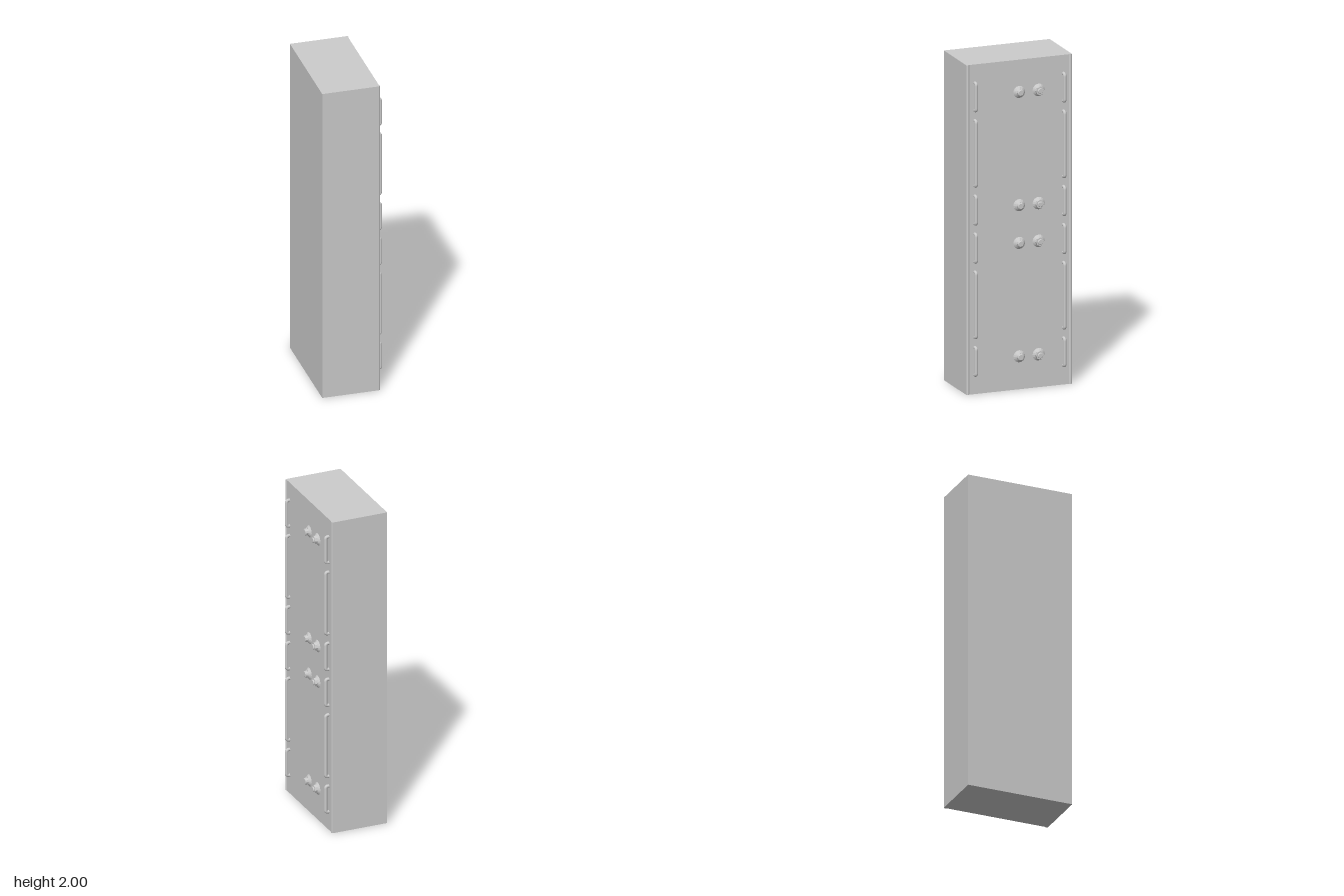
import * as THREE from 'three';

const FACE = 0.157; // x of the panel carrying the hardware
const grey = new THREE.MeshStandardMaterial({ color: 0xcccccc });
const faceted = new THREE.MeshStandardMaterial({ color: 0xcccccc, flatShading: true });

function add(parent, name, geometry, material = grey) {
  const mesh = new THREE.Mesh(geometry, material);
  mesh.name = name;
  parent.add(mesh);
  return mesh;
}

// Bent bar handle: two short legs joined by a long grip with rounded corners
function handleGeometry(y0, y1) {
  const r = 0.01, out = 0.177, bend = 0.014;
  const lo = y0 + r, hi = y1 - r;
  const v = (x, y) => new THREE.Vector3(x, y, 0);
  const path = new THREE.CurvePath();
  path.add(new THREE.LineCurve3(v(FACE - 0.004, lo), v(out - bend, lo)));
  path.add(new THREE.QuadraticBezierCurve3(v(out - bend, lo), v(out, lo), v(out, lo + bend)));
  path.add(new THREE.LineCurve3(v(out, lo + bend), v(out, hi - bend)));
  path.add(new THREE.QuadraticBezierCurve3(v(out, hi - bend), v(out, hi), v(out - bend, hi)));
  path.add(new THREE.LineCurve3(v(out - bend, hi), v(FACE - 0.004, hi)));
  return new THREE.TubeGeometry(path, 120, r, 10);
}

// Turned shape whose axis points out of the panel (+x); points are [radius, distance]
function turned(points, sides) {
  const g = new THREE.LatheGeometry(points.map(([r, d]) => new THREE.Vector2(r, d)), sides);
  return g.rotateZ(-Math.PI / 2);
}

export function createModel() {
  const model = new THREE.Group();
  model.name = 'cabinet';

  // Cabinet body
  const body = add(model, 'body', new THREE.BoxGeometry(0.35, 2, 0.666));
  body.position.set(-0.018, 1, 0);

  // Slim hinge beads along both vertical edges
  for (const side of [-1, 1]) {
    const bead = new THREE.Shape();
    bead.moveTo(-0.004, -0.009);
    bead.lineTo(0, -0.009);
    bead.lineTo(0.004, -0.002);
    bead.lineTo(0.004, 0.002);
    bead.lineTo(0, 0.009);
    bead.lineTo(-0.004, 0.009);
    const g = new THREE.ExtrudeGeometry(bead, { depth: 2, bevelEnabled: false });
    g.rotateX(-Math.PI / 2);
    add(model, 'hingeBead', g, faceted).position.set(FACE, 0, side * 0.324);
  }

  // Handles: short, long, short, mirrored about mid height and across the panel
  const spans = [[0.107, 0.293], [0.335, 0.751], [0.793, 0.981]];
  for (const [a, b] of spans) {
    for (const [y0, y1] of [[a, b], [2.005 - b, 2.005 - a]]) {
      for (const z of [-0.279, 0.279]) {
        add(model, 'handle', handleGeometry(y0, y1)).position.z = z;
      }
    }
  }

  // Pairs of fittings: a nut on a flared collar and a knob on a cone
  for (const y of [0.2, 0.888, 1.117, 1.804]) {
    const nut = new THREE.Group();
    nut.name = 'nutFitting';
    nut.position.set(FACE, y, -0.122);
    add(nut, 'collar', turned([[0.038, 0], [0.024, 0.012], [0, 0.012]], 16), faceted);
    add(nut, 'nut', turned([[0.026, 0.006], [0.026, 0.027], [0, 0.027]], 8), faceted);
    add(nut, 'stud', turned([[0.017, 0.027], [0.017, 0.032], [0.014, 0.035], [0, 0.035]], 12), faceted);
    model.add(nut);

    const knob = new THREE.Group();
    knob.name = 'knobFitting';
    knob.position.set(FACE, y, 0);
    add(knob, 'cone', turned([[0.037, 0], [0.017, 0.015], [0, 0.015]], 16), faceted);
    add(knob, 'knob', turned([[0.02, 0.006], [0.02, 0.028], [0.016, 0.031], [0, 0.031]], 10), faceted);
    // Small pointer on top of the knob
    const pointer = add(knob, 'pointer', new THREE.ConeGeometry(0.007, 0.014, 4), faceted);
    pointer.position.set(0.015, 0.024, 0);
    model.add(knob);
  }

  return model;
}
